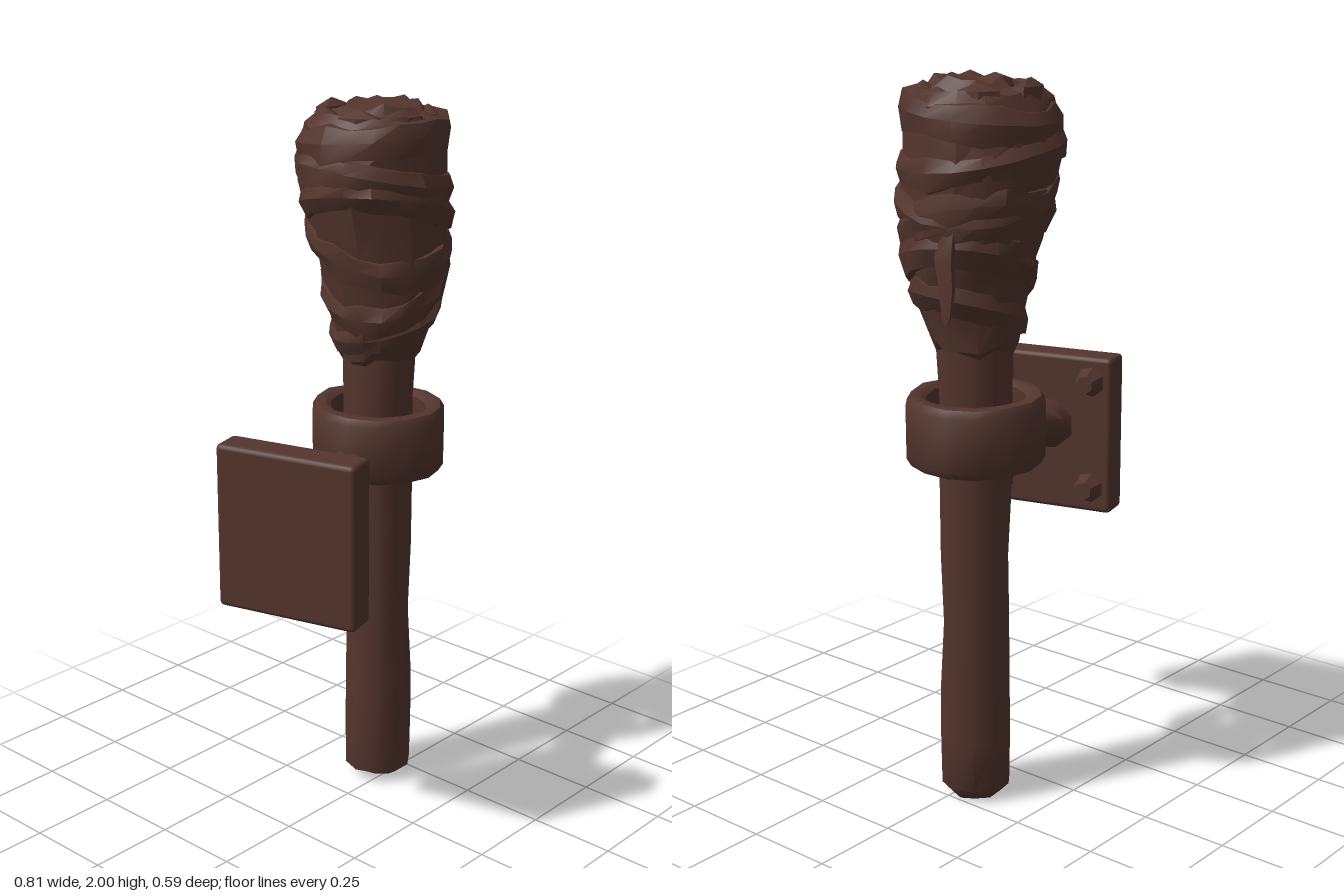
import * as THREE from 'three';
import { toCreasedNormals } from 'three/addons/utils/BufferGeometryUtils.js';
import { RoundedBoxGeometry } from 'three/addons/geometries/RoundedBoxGeometry.js';

const TAU = Math.PI * 2;

// Skin closed rings of points: point(row, angle) -> [x, y, z]
function loft(rows, sides, point, crease = 0.6) {
  const pos = [], idx = [];
  for (let i = 0; i < rows; i++)
    for (let j = 0; j < sides; j++) pos.push(...point(i, (j / sides) * TAU, j));
  for (let i = 0; i < rows - 1; i++)
    for (let j = 0; j < sides; j++) {
      const a = i * sides + j, b = i * sides + ((j + 1) % sides);
      idx.push(a, a + sides, b, b, a + sides, b + sides);
    }
  const g = new THREE.BufferGeometry();
  g.setAttribute('position', new THREE.Float32BufferAttribute(pos, 3));
  g.setIndex(idx);
  return toCreasedNormals(g, crease);
}

// Repeatable wobble in -1..1
function wobble(i, j, seed = 0) {
  const s = Math.sin(i * 127.1 + j * 311.7 + seed * 74.7) * 43758.5453;
  return (s - Math.floor(s)) * 2 - 1;
}

// Cloth head sections: y, centre x, centre z, radius
const HEAD = [
  [1.29, 0.19, -0.06, 0.10], [1.31, 0.195, -0.06, 0.118], [1.39, 0.195, -0.045, 0.138],
  [1.5, 0.2, -0.05, 0.162], [1.6, 0.2, -0.06, 0.182], [1.7, 0.195, -0.068, 0.192],
  [1.79, 0.185, -0.078, 0.204], [1.87, 0.185, -0.075, 0.196], [1.93, 0.19, -0.072, 0.188],
  [1.965, 0.19, -0.072, 0.165], [1.965, 0.2, -0.06, 0.12], [1.99, 0.2, -0.06, 0.095], [1.992, 0.2, -0.06, 0],
];

function headAt(y) {
  let i = 0;
  while (i < 7 && HEAD[i + 1][0] < y) i++;
  const a = HEAD[i], b = HEAD[i + 1];
  const t = THREE.MathUtils.clamp((y - a[0]) / (b[0] - a[0]), 0, 1);
  return a.map((v, k) => v + (b[k] - v) * t);
}

export function createModel() {
  const model = new THREE.Group();
  model.name = 'wallTorch';
  const brown = new THREE.MeshStandardMaterial({ color: 0x53352d });
  brown.name = 'darkBrown';
  const add = (parent, name, geometry) => {
    const m = new THREE.Mesh(geometry, brown);
    m.name = name;
    parent.add(m);
    return m;
  };

  // Rough wooden handle: y, centre x, centre z, radius
  const shaft = [
    [0.012, 0.17, -0.035, 0], [0.01, 0.17, -0.035, 0.07], [0.035, 0.17, -0.035, 0.096],
    [0.18, 0.17, -0.035, 0.1], [0.34, 0.175, -0.038, 0.096], [0.52, 0.178, -0.043, 0.09],
    [0.72, 0.182, -0.046, 0.093], [0.92, 0.182, -0.048, 0.096], [1.15, 0.185, -0.052, 0.096],
    [1.36, 0.19, -0.055, 0.105],
  ];
  add(model, 'handle', loft(shaft.length, 10, (i, a, j) => {
    const [y, cx, cz, r] = shaft[i];
    const q = r * (1 + 0.045 * wobble(i, j));
    return [cx + q * Math.cos(a), y + (i === 1 ? 0.012 * wobble(1, j, 3) : 0), cz + q * Math.sin(a)];
  }, 0.8));

  // Crumpled cloth head
  const head = new THREE.Group();
  head.name = 'clothHead';
  model.add(head);
  add(head, 'clothCore', loft(HEAD.length, 16, (i, a, j) => {
    const [y, cx, cz, r] = HEAD[i];
    const q = r * (1 + 0.05 * wobble(i, j, 1));
    const dy = i === HEAD.length - 1 ? 0 : (i < 2 ? 0.015 : 0.012) * wobble(i, j, 2);
    return [cx + q * Math.cos(a), Math.min(y + dy, 2), cz + q * Math.sin(a)];
  }, 0.5));

  // Slanted cloth wraps: middle height, slant, direction of the high side, width
  const wraps = [
    [1.40, 0.05, 0.2, 0.09], [1.50, 0.08, -0.4, 0.10], [1.62, 0.07, -1.0, 0.10],
    [1.70, 0.07, 2.6, 0.09], [1.80, 0.04, 3.6, 0.09], [1.90, 0.02, 1.5, 0.10],
  ];
  const section = [[-0.5, -0.03], [-0.45, 0.008], [0.05, 0.017], [0.42, 0.005], [0.5, -0.03]];
  wraps.forEach(([y0, slant, dir, width], n) => {
    add(head, 'clothWrap', loft(section.length, 18, (i, a, j) => {
      const w = width * (1 + 0.25 * wobble(0, j, n));
      const y = y0 + slant * Math.cos(a - dir) + section[i][0] * w;
      const [, cx, cz, r] = headAt(y);
      const q = r + section[i][1] + 0.006 * wobble(i, j, n + 9);
      return [cx + q * Math.cos(a), y, cz + q * Math.sin(a)];
    }, 0.5));
  });

  // Folded rags standing at the rim
  for (let n = 0; n < 7; n++) {
    const a0 = (n / 7) * TAU + 0.2 * wobble(n, 1);
    add(head, 'rimFold', loft(4, 6, (i, a) => {
      const s = [0, 1, 0.8, 0][i], y = [1.89, 1.89, 1.965, 1.985][i] + 0.012 * wobble(n, 2);
      const u = 0.14 + 0.04 * s * Math.cos(a), v = 0.075 * s * Math.sin(a);
      return [0.19 + u * Math.cos(a0) - v * Math.sin(a0), y, -0.07 + u * Math.sin(a0) + v * Math.cos(a0)];
    }, 0.5));
  }

  // Loose strip hanging from the wraps: x, y, half width
  const strip = [[0.35, 1.65, 0.0], [0.365, 1.64, 0.03], [0.385, 1.56, 0.032], [0.383, 1.48, 0.026], [0.392, 1.41, 0.015], [0.395, 1.388, 0]];
  add(head, 'looseStrip', loft(strip.length, 6, (i, a) => {
    const [x, y, w] = strip[strip.length - 1 - i];
    return [x + 0.4 * w * Math.cos(a), y, -0.125 + (y - 1.52) * 0.08 + w * Math.sin(a)];
  }));

  // Wall bracket, turned about the vertical; local +x points to the torch
  const bracket = new THREE.Group();
  bracket.name = 'bracket';
  bracket.position.set(-0.31, 0, 0.085);
  bracket.rotation.y = 0.26;
  model.add(bracket);

  const plate = add(bracket, 'wallPlate', new RoundedBoxGeometry(0.094, 0.46, 0.41, 2, 0.014));
  plate.position.y = 0.941;

  // Bolt heads in the plate corners
  for (const y of [0.785, 1.1])
    for (const z of [-0.14, 0.14]) {
      const g = new THREE.CylinderGeometry(0.026, 0.046, 0.05, 7).toNonIndexed();
      const bolt = add(bracket, 'bolt', toCreasedNormals(g, 0.5));
      bolt.rotation.z = -Math.PI / 2;
      bolt.position.set(0.068, y, z);
    }

  // Arm, running along local x: x, height, half height, half depth
  const arm = [[0.03, 0.962, 0.075, 0.088], [0.09, 0.968, 0.064, 0.08], [0.2, 0.992, 0.056, 0.068], [0.3, 1.012, 0.052, 0.064], [0.36, 1.022, 0.054, 0.066]];
  add(bracket, 'arm', loft(arm.length, 8, (i, a) => {
    const [x, y, h, d] = arm[i];
    const b = a + Math.PI / 8;
    return [x, y - h * 1.06 * Math.cos(b), d * 1.06 * Math.sin(b)];
  }, 0.9));

  // Holding ring with rounded edges: radius, height
  const ring = [[0.142, 0.985], [0.155, 0.972], [0.178, 0.974], [0.191, 0.995], [0.192, 1.14], [0.18, 1.16], [0.155, 1.163], [0.138, 1.15], [0.138, 1.0], [0.142, 0.985]];
  add(bracket, 'holdingRing', loft(ring.length, 14, (i, a, j) => {
    const [r, y] = ring[i];
    const q = r + 0.004 * wobble(1, j, 5);
    return [0.503 + q * Math.cos(a), y + 0.004 * wobble(2, j, 5), q * Math.sin(a)];
  }, 0.8));

  return model;
}
